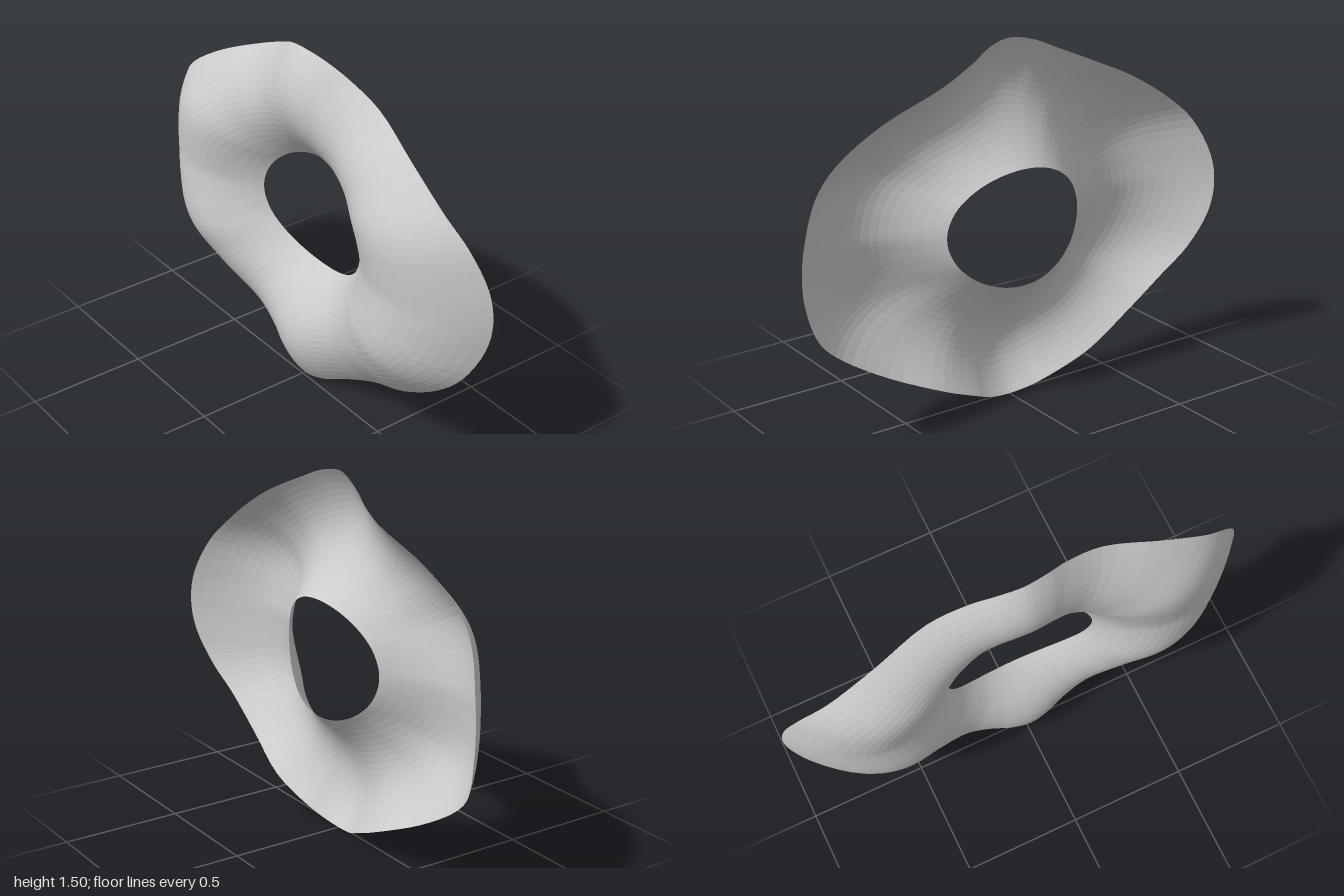
import * as THREE from 'three';

// One quarter of the ring, from the side (+x) to the top:
// [rim x, rim y, rim z, ridge z, ridge position 0..1, hole angle in degrees]
const QUARTER = [
  [1.0, 0, -0.113, 0.107, 0.42, 0],
  [0.98, 0.13, -0.103, 0.113, 0.42, 10],
  [0.905, 0.285, -0.063, 0.12, 0.43, 24],
  [0.8, 0.385, -0.037, 0.112, 0.45, 36],
  [0.6, 0.51, -0.045, 0.068, 0.48, 52],
  [0.36, 0.62, -0.08, 0.035, 0.5, 67],
  [0.2, 0.69, -0.058, 0.045, 0.53, 77],
  [0.1, 0.733, -0.028, 0.062, 0.55, 84],
  [0, 0.75, -0.012, 0.07, 0.55, 90],
];
const CENTRE_Y = 0.752;
const HOLE_X = 0.318, HOLE_Y = 0.243;
const AROUND = 128, ACROSS = 18;

// Mirror a quarter of points into a closed smooth curve
function closedCurve(points) {
  const last = points.length - 1;
  const mirror = (list, sx, sy) => list.map((p) => new THREE.Vector3(p.x * sx, p.y * sy, p.z));
  const back = [...points].reverse();
  return new THREE.CatmullRomCurve3([
    ...mirror(points.slice(0, last), 1, 1),
    ...mirror(back.slice(0, last), -1, 1),
    ...mirror(points.slice(0, last), -1, -1),
    ...mirror(back.slice(0, last), 1, -1),
  ], true);
}

function wavySheet() {
  const hole = [], rim = [], ridge = [];
  for (const [x, y, z, ridgeZ, t, degrees] of QUARTER) {
    const angle = THREE.MathUtils.degToRad(degrees);
    const inner = new THREE.Vector3(
      HOLE_X * Math.cos(angle), HOLE_Y * Math.sin(angle), -0.04 - 0.065 * Math.sin(angle) ** 2);
    const outer = new THREE.Vector3(x, y, z);
    hole.push(inner);
    rim.push(outer);
    ridge.push(inner.clone().lerp(outer, t).setZ(ridgeZ));
  }
  const holeCurve = closedCurve(hole), rimCurve = closedCurve(rim), ridgeCurve = closedCurve(ridge);

  // Each spoke is a parabola from hole edge over the ridge to the outer rim
  const positions = [], indices = [];
  for (let i = 0; i < AROUND; i++) {
    const u = i / AROUND;
    const a = holeCurve.getPoint(u), b = rimCurve.getPoint(u), r = ridgeCurve.getPoint(u);
    const t = Math.hypot(r.x - a.x, r.y - a.y) / Math.hypot(b.x - a.x, b.y - a.y);
    const rise = (r.z - a.z) / t;
    const bend = (b.z - r.z) / (1 - t) - rise;
    for (let j = 0; j <= ACROSS; j++) {
      const v = j / ACROSS;
      positions.push(
        a.x + (b.x - a.x) * v,
        a.y + (b.y - a.y) * v + CENTRE_Y,
        a.z + rise * v + bend * v * (v - t),
      );
      if (j === ACROSS) continue;
      const p = i * (ACROSS + 1) + j;
      const q = ((i + 1) % AROUND) * (ACROSS + 1) + j;
      indices.push(p, p + 1, q + 1, p, q + 1, q);
    }
  }
  const geometry = new THREE.BufferGeometry();
  geometry.setAttribute('position', new THREE.Float32BufferAttribute(positions, 3));
  geometry.setIndex(indices);
  geometry.computeVertexNormals();
  return geometry;
}

export function createModel() {
  const group = new THREE.Group();
  const material = new THREE.MeshStandardMaterial({
    color: 0xcccccc, flatShading: true, side: THREE.DoubleSide,
  });
  const sheet = new THREE.Mesh(wavySheet(), material);
  sheet.name = 'wavyRingSheet';
  group.add(sheet);
  return group;
}
